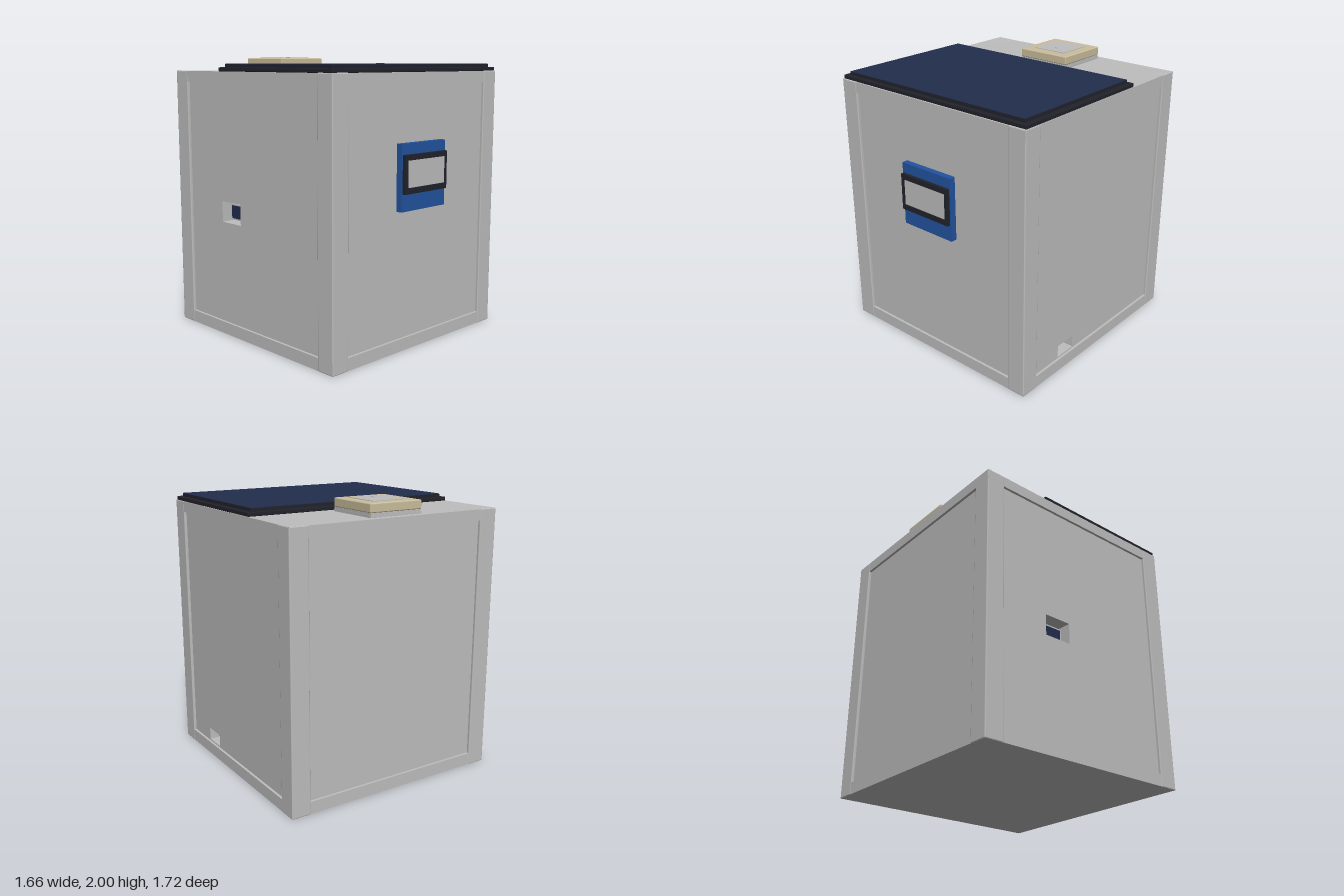
import * as THREE from 'three';
import { RoundedBoxGeometry } from 'three/addons/geometries/RoundedBoxGeometry.js';

const material = (name, color) => {
  const m = new THREE.MeshStandardMaterial({ color });
  m.name = name;
  return m;
};

export function createModel() {
  const grey = material('casing grey', 0xbebebe);
  const black = material('frame black', 0x22222b);
  const navy = material('solar navy', 0x222d4c);
  const blue = material('board blue', 0x2253a0);
  const beige = material('ceramic beige', 0xcabe9c);

  const model = new THREE.Group();
  model.name = 'sensorBox';

  const add = (name, geometry, mat, parent = model) => {
    const mesh = new THREE.Mesh(geometry, mat);
    mesh.name = name;
    parent.add(mesh);
    return mesh;
  };
  // Box given by its extents along each axis, optionally with rounded edges
  const block = (name, mat, [x0, x1], [y0, y1], [z0, z1], radius = 0, parent = model) => {
    const size = [x1 - x0, y1 - y0, z1 - z0];
    const geometry = radius
      ? new RoundedBoxGeometry(...size, 2, radius)
      : new THREE.BoxGeometry(...size);
    const mesh = add(name, geometry, mat, parent);
    mesh.position.set((x0 + x1) / 2, (y0 + y1) / 2, (z0 + z1) / 2);
    return mesh;
  };
  const rectangle = (Type, x0, x1, y0, y1) => new Type([
    new THREE.Vector2(x0, y0), new THREE.Vector2(x1, y0),
    new THREE.Vector2(x1, y1), new THREE.Vector2(x0, y1),
  ]);
  const extrude = (shape, depth) =>
    new THREE.ExtrudeGeometry(shape, { depth, bevelEnabled: false });

  // Casing: four corner posts with a top and a bottom plate between them
  const X = 0.83, BACK = -0.86, FRONT = 0.81, TOP = 1.9, POST = 0.14, GAP = 0.002;
  for (const x of [-X, X - POST]) {
    for (const z of [BACK, FRONT - POST]) {
      block('cornerPost', grey, [x, x + POST], [0, TOP], [z, z + POST], 0.008);
    }
  }
  const plateX = [-X + GAP, X - GAP], plateZ = [BACK + GAP, FRONT - GAP];
  block('topPlate', grey, plateX, [1.82, TOP - GAP], plateZ);
  block('bottomPlate', grey, plateX, [GAP, 0.09], plateZ);

  // Recessed side walls, drawn facing +z and turned into place
  const INSET = 0.02, THICK = 0.1;
  const wall = (name, x0, x1, angle, outer, opening) => {
    const group = new THREE.Group();
    group.name = name;
    group.rotation.y = angle;
    model.add(group);
    const shape = rectangle(THREE.Shape, x0, x1, 0.085, 1.825);
    if (opening) shape.holes.push(rectangle(THREE.Path, ...opening));
    add(name + 'Panel', extrude(shape, THICK), grey, group).position.z = outer - INSET - THICK;
    if (opening) {
      // Port at the bottom of the opening
      const [a, b, c, d] = opening;
      const inner = outer - INSET - THICK;
      block('portBacking', grey, [a - 0.02, b + 0.02], [c - 0.01, d + 0.02],
        [inner - 0.02, inner], 0, group);
      block('portShell', grey, [a + 0.012, b - 0.012], [c + 0.015, d - 0.025],
        [inner, inner + 0.03], 0, group);
      block('portSocket', navy, [a + 0.025, b - 0.025], [c + 0.022, d - 0.035],
        [inner + 0.03, inner + 0.035], 0, group);
    }
  };
  wall('frontWall', -0.7, 0.7, 0, FRONT);
  wall('backWall', -0.7, 0.7, Math.PI, -BACK);
  wall('plusXWall', -0.68, 0.73, Math.PI / 2, X, [-0.41, -0.24, 0.1, 0.19]);
  wall('minusXWall', -0.73, 0.68, -Math.PI / 2, X, [-0.35, -0.14, 0.83, 0.98]);

  // Solar panel covering the front of the top
  block('solarBase', black, [-0.825, 0.825], [TOP - 0.002, 1.926], [-0.34, 0.8], 0.005);
  block('solarRim', black, [-0.79, 0.79], [1.92, 1.947], [-0.31, 0.77]);
  block('solarCells', navy, [-0.788, 0.788], [1.947, 1.95], [-0.308, 0.768]);

  // Patch antenna at the back of the top
  block('antennaBase', grey, [-0.205, 0.205], [TOP - 0.002, 1.915], [-0.81, -0.395]);
  block('antennaShield', grey, [-0.202, 0.202], [1.915, 1.928], [-0.807, -0.398]);
  block('antennaCeramic', beige, [-0.207, 0.207], [1.928, 1.99], [-0.81, -0.395], 0.008);
  block('antennaPatch', grey, [-0.133, 0.133], [1.988, 1.994], [-0.737, -0.47]);
  add('antennaPin', new THREE.CylinderGeometry(0.012, 0.012, 0.01, 16), grey)
    .position.set(0, 1.995, -0.557);

  // Display on the front wall: board, frame and screen
  block('displayBoard', blue, [-0.225, 0.222], [0.98, 1.435], [FRONT - INSET - 0.01, 0.835]);
  const frame = rectangle(THREE.Shape, -0.217, 0.213, 1.1, 1.362);
  frame.holes.push(rectangle(THREE.Path, -0.188, 0.188, 1.142, 1.325));
  add('displayFrame', extrude(frame, 0.025), black).position.z = 0.835;
  block('displayScreen', grey, [-0.188, 0.188], [1.142, 1.325], [0.835, 0.859]);

  return model;
}
